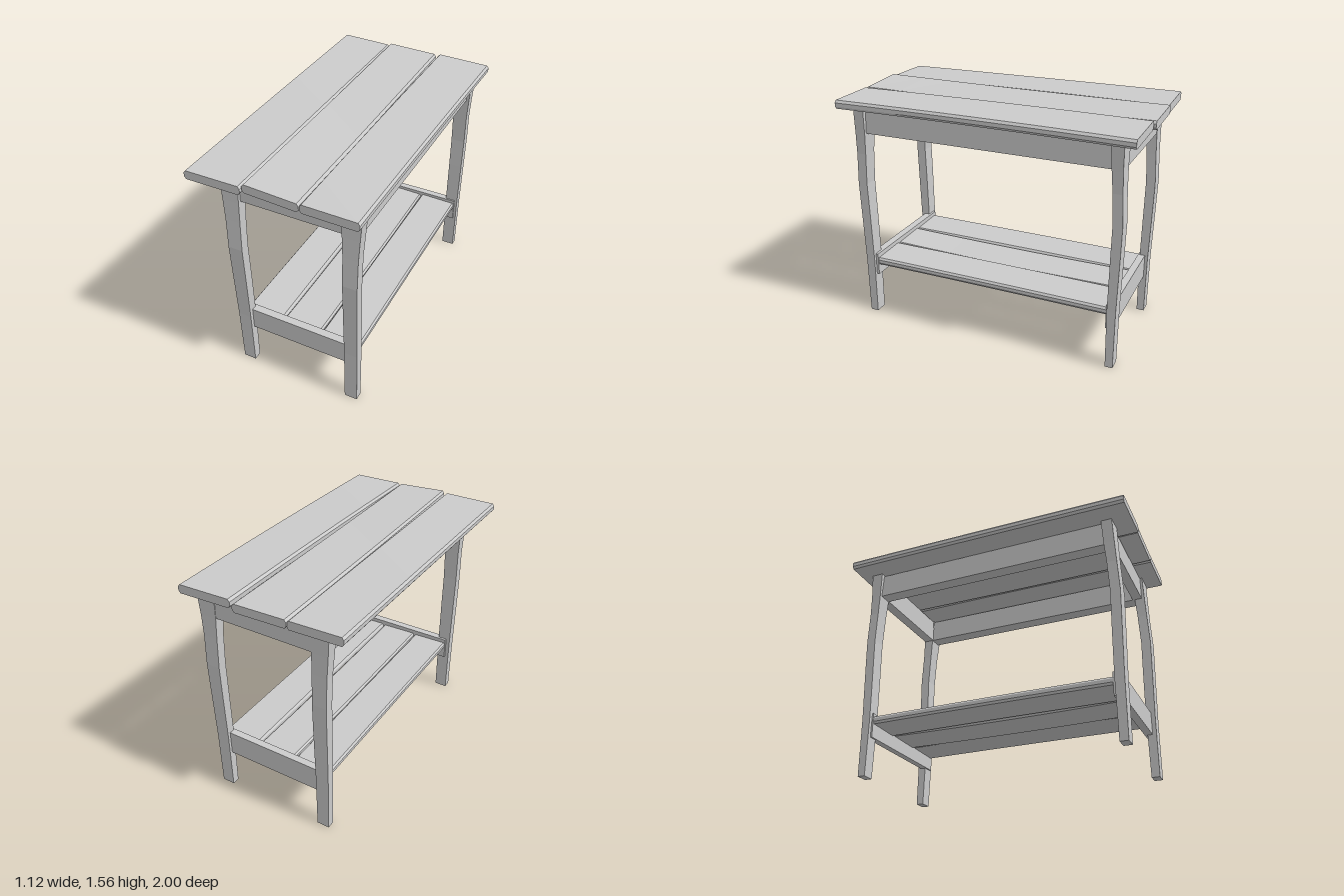
import * as THREE from 'three';

const material = new THREE.MeshStandardMaterial({ color: 0xcccccc, flatShading: true });

function addMesh(parent, name, geometry) {
  geometry.computeVertexNormals();
  const mesh = new THREE.Mesh(geometry, material);
  mesh.name = name;
  parent.add(mesh);
}

// Moves every vertex by a rule that edits the vector in place
function warp(geometry, rule) {
  const p = geometry.attributes.position;
  const v = new THREE.Vector3();
  for (let i = 0; i < p.count; i++) {
    v.fromBufferAttribute(p, i);
    rule(v);
    p.setXYZ(i, v.x, v.y, v.z);
  }
  return geometry;
}

// Chamfered board along z; back and front are [x0, x1, bottomY at x0, bottomY at x1]
function plank(z0, z1, back, front, thick, bow, bevel) {
  const b = bevel / (front[1] - front[0]);
  const c = 0.28;
  const section = new THREE.Shape([
    [b, 0], [1 - b, 0], [1, c], [1, 1 - c], [1 - b, 1], [b, 1], [0, 1 - c], [0, c],
  ].map(([x, y]) => new THREE.Vector2(x, y)));
  const g = new THREE.ExtrudeGeometry(section, { depth: 1, steps: 8, bevelEnabled: false });
  const { lerp } = THREE.MathUtils;
  return warp(g, (v) => {
    const t = v.z;
    const u = v.x;
    const arch = 4 * t * (1 - t) * bow;
    v.x = lerp(lerp(back[0], front[0], t), lerp(back[1], front[1], t), u);
    v.y = lerp(lerp(back[2], front[2], t), lerp(back[3], front[3], t), u) + v.y * thick + arch;
    v.z = lerp(z0, z1, t);
  });
}

// Curved leg: rows of [y, x0, x1, z0, z1] from the foot upward
function leg(rows) {
  const n = rows.length - 1;
  const g = new THREE.BoxGeometry(1, 1, 1, 1, n, 1).toNonIndexed();
  return warp(g, (v) => {
    const [y, x0, x1, z0, z1] = rows[Math.round((v.y + 0.5) * n)];
    v.set(v.x < 0 ? x0 : x1, y, v.z < 0 ? z0 : z1);
  });
}

function box(x0, x1, y0, y1, z0, z1) {
  return new THREE.BoxGeometry(x1 - x0, y1 - y0, z1 - z0)
    .translate((x0 + x1) / 2, (y0 + y1) / 2, (z0 + z1) / 2);
}

export function createModel() {
  const table = new THREE.Group();
  table.name = 'table';

  // Table top: three slightly warped boards
  const top = new THREE.Group();
  top.name = 'tableTop';
  table.add(top);
  addMesh(top, 'rightTopPlank', plank(-0.99, 0.995,
    [-0.555, -0.2, 1.493, 1.483], [-0.56, -0.19, 1.483, 1.485], 0.057, 0.002, 0.012));
  addMesh(top, 'middleTopPlank', plank(-1, 0.985,
    [-0.203, 0.16, 1.492, 1.482], [-0.182, 0.172, 1.503, 1.484], 0.056, -0.004, 0.012));
  addMesh(top, 'leftTopPlank', plank(-0.99, 0.985,
    [0.182, 0.555, 1.493, 1.483], [0.176, 0.535, 1.486, 1.482], 0.057, 0.006, 0.012));

  // Legs: [y, inner z, outer z] at the front and at the back
  const frontRows = [[0, 0.825, 0.88], [0.4, 0.82, 0.882], [0.75, 0.825, 0.89], [0.97, 0.83, 0.895],
    [1.18, 0.82, 0.885], [1.32, 0.81, 0.88], [1.49, 0.803, 0.875]];
  const backRows = [[0, 0.86, 0.91], [0.4, 0.853, 0.91], [0.75, 0.857, 0.918], [0.97, 0.86, 0.922],
    [1.18, 0.85, 0.912], [1.32, 0.84, 0.908], [1.49, 0.83, 0.91]];
  // Matching [x0, x1] on each side
  const rightX = [[-0.383, -0.298], [-0.387, -0.297], [-0.391, -0.296], [-0.393, -0.296],
    [-0.396, -0.295], [-0.404, -0.293], [-0.415, -0.29]];
  const leftX = [[0.382, 0.468], [0.381, 0.47], [0.38, 0.473], [0.379, 0.475],
    [0.378, 0.477], [0.373, 0.485], [0.368, 0.497]];
  for (const [side, xs] of [['Right', rightX], ['Left', leftX]]) {
    addMesh(table, `front${side}Leg`, leg(frontRows.map(([y, a, b], i) => [y, ...xs[i], a, b])));
    addMesh(table, `back${side}Leg`, leg(backRows.map(([y, a, b], i) => [y, ...xs[i], -b, -a])));
  }

  // Apron frame under the top, one closed ring
  const rect = (P, x0, x1, z0, z1) => new P([
    new THREE.Vector2(x0, -z1), new THREE.Vector2(x1, -z1),
    new THREE.Vector2(x1, -z0), new THREE.Vector2(x0, -z0),
  ]);
  const ring = rect(THREE.Shape, -0.385, 0.467, -0.905, 0.86);
  ring.holes.push(rect(THREE.Path, -0.295, 0.373, -0.835, 0.795));
  addMesh(table, 'apron', new THREE.ExtrudeGeometry(ring, { depth: 0.16, bevelEnabled: false })
    .rotateX(-Math.PI / 2).translate(0, 1.322, 0));

  // Lower stretchers between the legs
  addMesh(table, 'frontStretcher', box(-0.36, 0.45, 0.29, 0.445, 0.803, 0.855));
  addMesh(table, 'backStretcher', box(-0.36, 0.45, 0.268, 0.435, -0.89, -0.843));

  // Shelf: three boards
  const shelf = new THREE.Group();
  shelf.name = 'shelf';
  table.add(shelf);
  const edges = [-0.36, -0.095, 0.178, 0.45];
  for (let i = 0; i < 3; i++) {
    const a = edges[i] + 0.004;
    const b = edges[i + 1] - 0.004;
    addMesh(shelf, `shelfPlank${i + 1}`, plank(-0.845, 0.81,
      [a, b, 0.364, 0.358], [a, b, 0.366, 0.36], 0.052, i === 1 ? -0.008 : 0.003, 0.01));
  }
  return table;
}
